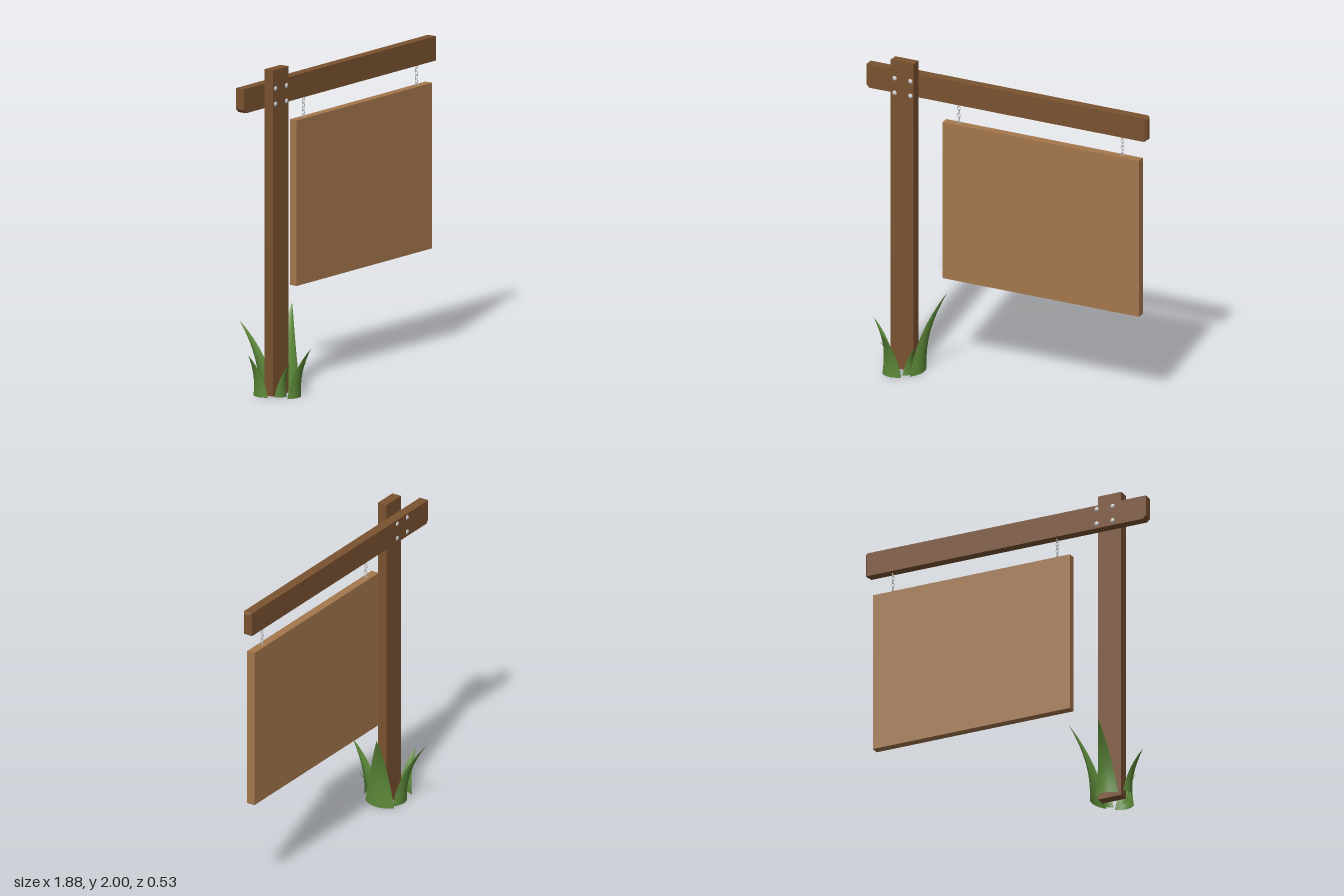
import * as THREE from 'three';
import { ConvexGeometry } from 'three/addons/geometries/ConvexGeometry.js';

const mat = (color, extra = {}) => new THREE.MeshStandardMaterial({ color, ...extra });
const darkWood = mat(0x7a5230, { flatShading: true });
const lightWood = mat(0xa5784e, { flatShading: true });
const metal = mat(0xcccccc);
const leaf = mat(0x5f8c3a, { side: THREE.DoubleSide });

function add(parent, name, geometry, material, x = 0, y = 0, z = 0) {
  const mesh = new THREE.Mesh(geometry, material);
  mesh.name = name;
  mesh.position.set(x, y, z);
  parent.add(mesh);
  return mesh;
}

// Box given by its minimum and maximum corners
function plank(parent, name, material, [x0, y0, z0], [x1, y1, z1]) {
  return add(parent, name, new THREE.BoxGeometry(x1 - x0, y1 - y0, z1 - z0), material,
    (x0 + x1) / 2, (y0 + y1) / 2, (z0 + z1) / 2);
}

// Crossbeam: bevelled right end, lower corner cut off the left end
function beamGeometry() {
  const y0 = 1.76, y1 = 1.91, z0 = -0.105, z1 = -0.045, b = 0.015;
  const points = [];
  for (const z of [z0, z1]) {
    points.push([-0.94, y1, z], [-0.94, y0 + 0.02, z], [-0.92, y0, z], [0.92, y0, z], [0.92, y1, z]);
  }
  for (const z of [z0 + b, z1 - b]) points.push([0.935, y0 + 0.01, z], [0.935, y1 - 0.01, z]);
  return new ConvexGeometry(points.map((p) => new THREE.Vector3(...p)));
}

// Curved grass blade: base edge from a to b on the ground, bowed outward, tapering to a tip
function bladeGeometry([ax, az], [bx, bz], [tx, ty, tz]) {
  const rows = 8, cols = 6, pos = [], index = [];
  const cx = (ax + bx) / 2, cz = (az + bz) / 2;
  const width = Math.hypot(bx - ax, bz - az);
  // Outward normal of the base edge, on the side of the tip
  let nx = -(bz - az) / width, nz = (bx - ax) / width;
  if (nx * (tx - cx) + nz * (tz - cz) < 0) { nx = -nx; nz = -nz; }
  for (let i = 0; i <= rows; i++) {
    const t = i / rows;
    const lean = 0.15 * t + 0.85 * t ** 2.1;
    const taper = (1 - t) ** 0.85;
    for (let j = 0; j <= cols; j++) {
      const s = j / cols - 0.5;
      const bow = 0.2 * width * (1 - 4 * s * s) * taper;
      pos.push(
        cx + (tx - cx) * lean + (bx - ax) * s * taper + nx * bow,
        ty * t,
        cz + (tz - cz) * lean + (bz - az) * s * taper + nz * bow);
      if (i < rows && j < cols) {
        const k = i * (cols + 1) + j, m = k + cols + 1;
        index.push(k, k + 1, m, k + 1, m + 1, m);
      }
    }
  }
  const g = new THREE.BufferGeometry();
  g.setAttribute('position', new THREE.Float32BufferAttribute(pos, 3));
  g.setIndex(index);
  g.computeVertexNormals();
  return g;
}

export function createModel() {
  const model = new THREE.Group();
  model.name = 'hangingSign';

  plank(model, 'post', darkWood, [-0.745, 0, -0.042], [-0.59, 2, 0.02]);
  add(model, 'crossbeam', beamGeometry(), darkWood);
  plank(model, 'signBoard', lightWood, [-0.43, 0.615, -0.097], [0.885, 1.63, -0.045]);

  // Bolts through post and beam, with a shallow domed head at each end
  const bolts = new THREE.Group();
  bolts.name = 'bolts';
  model.add(bolts);
  const head = new THREE.SphereGeometry(0.015, 12, 5, 0, Math.PI * 2, 0, Math.PI / 2);
  for (const x of [-0.718, -0.612]) {
    for (const y of [1.885, 1.79]) {
      for (const [z, side] of [[0.02, 1], [-0.105, -1]]) {
        const bolt = add(bolts, 'boltHead', head, metal, x, y, z);
        bolt.rotation.x = side * Math.PI / 2;
        bolt.scale.y = 0.5;
      }
    }
  }

  // Chains of alternating oval links
  const link = new THREE.TorusGeometry(0.0095, 0.0025, 5, 10).scale(1, 1.4, 1);
  for (const [name, x] of [['rightChain', -0.333], ['leftChain', 0.763]]) {
    const chain = new THREE.Group();
    chain.name = name;
    chain.position.set(x, 1.695, -0.07);
    model.add(chain);
    for (let i = 0; i < 6; i++) {
      add(chain, 'chainLink', link, metal, 0, (i - 2.5) * 0.023, 0).rotation.y = (i % 2) * Math.PI / 2;
    }
  }

  // Grass around the foot of the post: base edge ends and tip
  const grass = new THREE.Group();
  grass.name = 'grass';
  model.add(grass);
  const blades = [
    [[-0.575, 0.1], [-0.575, -0.11], [-0.418, 0.51, -0.09]],
    [[-0.745, -0.085], [-0.595, -0.085], [-0.7, 0.42, -0.265]],
    [[-0.785, -0.095], [-0.785, 0.015], [-0.893, 0.27, -0.05]],
    [[-0.745, 0.13], [-0.615, 0.135], [-0.683, 0.32, 0.265]],
    [[-0.755, 0.04], [-0.685, 0.08], [-0.75, 0.22, 0.152]],
    [[-0.625, 0.1], [-0.575, 0.03], [-0.535, 0.2, 0.12]],
  ];
  for (const [a, b, tip] of blades) add(grass, 'grassBlade', bladeGeometry(a, b, tip), leaf);

  return model;
}
